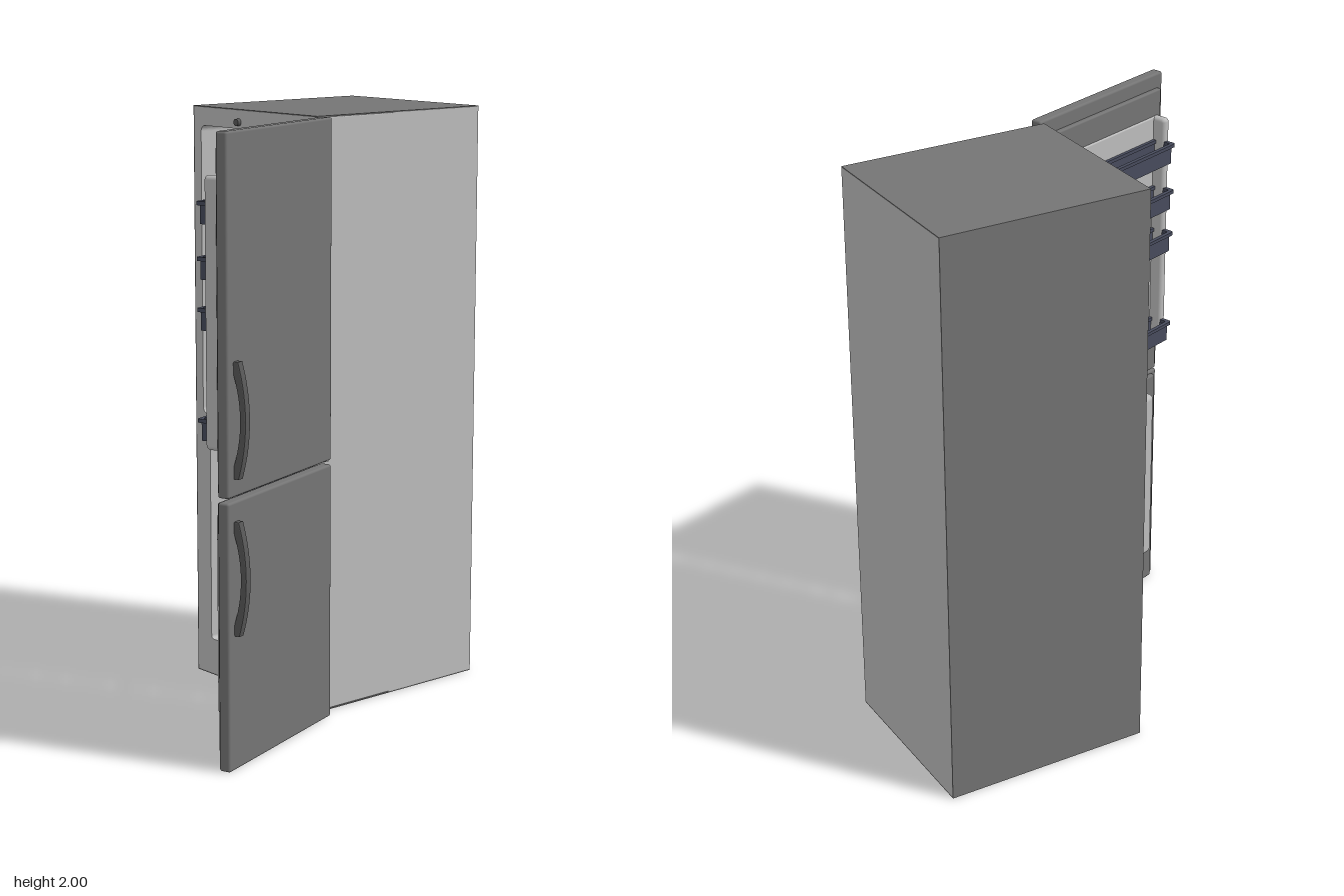
import * as THREE from 'three';
import { RoundedBoxGeometry } from 'three/addons/geometries/RoundedBoxGeometry.js';

const flat = (name, color) => {
  const m = new THREE.MeshStandardMaterial({ color });
  m.name = name;
  return m;
};

export function createModel() {
  const light = flat('light grey', 0xbcbcbc);
  const dark = flat('dark grey', 0x747474);
  const blue = flat('slate blue', 0x474b5c);
  const trim = flat('charcoal', 0x585858);

  const model = new THREE.Group();
  model.name = 'fridge';

  const add = (parent, name, geometry, material) => {
    const mesh = new THREE.Mesh(geometry, material);
    mesh.name = name;
    parent.add(mesh);
    return mesh;
  };
  // Box given by its limits; r rounds the edges
  const box = (parent, name, material, [x0, x1], [y0, y1], [z0, z1], r = 0) => {
    const size = [x1 - x0, y1 - y0, z1 - z0];
    const geometry = r ? new RoundedBoxGeometry(...size, 3, r) : new THREE.BoxGeometry(...size);
    const mesh = add(parent, name, geometry, material);
    mesh.position.set((x0 + x1) / 2, (y0 + y1) / 2, (z0 + z1) / 2);
    return mesh;
  };
  // Rounded rectangle outline
  const outline = (x0, x1, y0, y1, r, Type = THREE.Shape) => {
    const s = new Type();
    s.absarc(x1 - r, y1 - r, r, 0, Math.PI / 2);
    s.absarc(x0 + r, y1 - r, r, Math.PI / 2, Math.PI);
    s.absarc(x0 + r, y0 + r, r, Math.PI, Math.PI * 1.5);
    s.absarc(x1 - r, y0 + r, r, Math.PI * 1.5, Math.PI * 2);
    s.closePath();
    return s;
  };

  // Cabinet: front frame with two compartments, and the solid rear
  const L = -0.465, R = 0.175, BACK = -0.665, FRONT = 0.06, WALL = -0.27;
  const frame = outline(L + 0.004, R, 0.004, 1.996, 0.004);
  frame.holes.push(outline(-0.425, 0.135, 0.94, 1.935, 0.02, THREE.Path));
  frame.holes.push(outline(-0.388, 0.095, 0.13, 0.82, 0.012, THREE.Path));
  const frameGeo = new THREE.ExtrudeGeometry(frame, { depth: FRONT - WALL, bevelEnabled: false, curveSegments: 5 });
  add(model, 'cabinetFrame', frameGeo, light).position.z = WALL;
  box(model, 'cabinetRear', light, [L + 0.004, R], [0.004, 1.996], [BACK, WALL]);
  box(model, 'topPanel', dark, [L, R], [1.996, 2], [BACK, FRONT]);
  box(model, 'bottomPanel', dark, [L, R], [0, 0.004], [BACK, FRONT]);
  box(model, 'sidePanel', dark, [L, L + 0.004], [0.004, 1.996], [BACK, FRONT]);

  // Lamp button above the upper compartment
  const button = add(model, 'lampButton', new THREE.CylinderGeometry(0.012, 0.012, 0.015, 20), trim);
  button.rotation.x = Math.PI / 2;
  button.position.set(-0.222, 1.957, FRONT + 0.006);

  // Shelves with a pale front edge
  for (const y of [1.715, 1.53, 1.2]) {
    box(model, 'shelf', blue, [-0.42, 0.13], [y - 0.005, y + 0.005], [WALL, -0.026]);
    box(model, 'shelfEdge', light, [-0.42, 0.13], [y - 0.005, y + 0.005], [-0.026, -0.02]);
  }

  // Drawers, each with a lip along the top of its front
  const drawer = (x, y, front) => {
    box(model, 'drawer', blue, [x[0] + 0.004, x[1] - 0.004], y, [WALL, front]);
    box(model, 'drawerLip', blue, x, [y[1] - 0.022, y[1]], [front, front + 0.03], 0.004);
  };
  drawer([-0.422, -0.149], [0.945, 1.18], -0.06);
  drawer([-0.141, 0.132], [0.945, 1.18], -0.06);
  for (const y of [[0.132, 0.338], [0.354, 0.562], [0.578, 0.795]]) drawer([-0.382, 0.088], y, -0.045);

  // Hinge bracket between the doors
  box(model, 'hinge', light, [0.165, 0.2], [0.868, 0.878], [0.03, 0.075]);

  // Doors: local x runs from hinge to free edge, local z points to the inside
  const door = (name, y0, y1, panelTop, handleY) => {
    const g = new THREE.Group();
    g.name = name;
    g.position.set(0.228, 0, 0.042);
    g.rotation.y = -1.2366;
    model.add(g);
    box(g, 'doorSlab', dark, [0, 0.64], [y0, y1], [0, 0.04], 0.008);
    box(g, 'doorInnerPanel', dark, [0.008, 0.612], [y0 + 0.006, panelTop], [0.038, 0.058], 0.006);

    // Bowed handle: crescent in the height and depth plane
    const h = new THREE.Shape();
    h.moveTo(-0.18, 0.004);
    h.lineTo(-0.18, -0.014);
    h.quadraticCurveTo(0, -0.066, 0.18, -0.014);
    h.lineTo(0.18, 0.004);
    h.lineTo(0.16, 0.004);
    h.quadraticCurveTo(0, -0.054, -0.16, 0.004);
    h.closePath();
    const geo = new THREE.ExtrudeGeometry(h, {
      depth: 0.02, bevelThickness: 0.004, bevelSize: 0.003, bevelSegments: 2, curveSegments: 16,
    });
    geo.translate(0, 0, -0.01);
    // cycle axes: shape x -> y, shape y -> z, depth -> x
    geo.applyMatrix4(new THREE.Matrix4().set(0, 0, 1, 0, 1, 0, 0, 0, 0, 1, 0, 0, 0, 0, 0, 1));
    add(g, 'handle', geo, trim).position.set(0.594, handleY, 0);
    return g;
  };
  const upper = door('upperDoor', 0.88, 2, 1.95, 1.12);
  const lower = door('lowerDoor', 0, 0.866, 0.858, 0.62);

  // Upper door liner: backing plate and two upright ribs
  box(upper, 'linerBack', light, [0.045, 0.595], [1.02, 1.86], [0.05, 0.064], 0.005);
  for (const x of [[0.04, 0.072], [0.566, 0.598]]) {
    box(upper, 'linerRib', light, x, [1.015, 1.862], [0.05, 0.11], 0.014);
  }

  // Open door bins: walls, floor and rim
  const ring = (x0, x1, z0, z1, t, height) => {
    const s = outline(x0, x1, -z1, -z0, 0.008);
    s.holes.push(outline(x0 + t, x1 - t, -z1 + t, -z0 - t, 0.004, THREE.Path));
    const geo = new THREE.ExtrudeGeometry(s, { depth: height, bevelEnabled: false, curveSegments: 4 });
    return geo.rotateX(-Math.PI / 2);
  };
  for (const y of [1.71, 1.54, 1.383, 1.038]) {
    add(upper, 'binWalls', ring(0.062, 0.576, 0.064, 0.139, 0.006, 0.06), blue).position.y = y;
    box(upper, 'binFloor', blue, [0.065, 0.573], [y, y + 0.006], [0.066, 0.136]);
    add(upper, 'binRim', ring(0.054, 0.585, 0.062, 0.146, 0.014, 0.012), blue).position.y = y + 0.058;
  }

  // Lower door liner: raised pad
  box(lower, 'linerPad', light, [0.085, 0.56], [0.15, 0.81], [0.04, 0.1], 0.018);

  return model;
}
